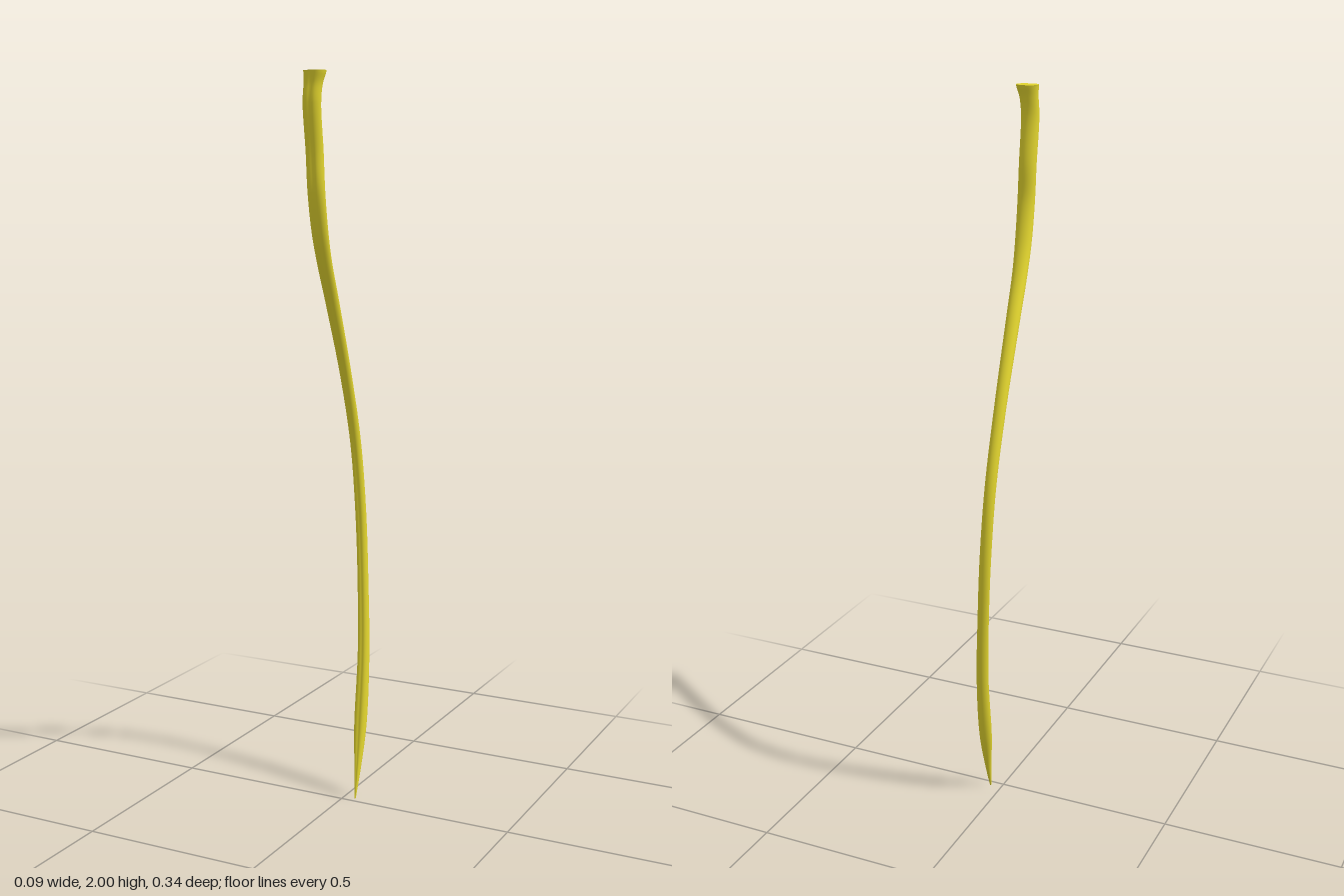
import * as THREE from 'three';

// Stations from tip to cut end: x, y, z, half width, half depth
const STATIONS = [
  [0.034, 0, -0.017, 0.002, 0.002],
  [0.031, 0.08, -0.039, 0.009, 0.009],
  [0.023, 0.2, -0.073, 0.018, 0.015],
  [0.013, 0.4, -0.113, 0.017, 0.015],
  [-0.003, 0.6, -0.141, 0.016, 0.013],
  [-0.018, 0.8, -0.156, 0.016, 0.013],
  [-0.027, 1.0, -0.141, 0.0155, 0.014],
  [-0.028, 1.2, -0.081, 0.0165, 0.014],
  [-0.021, 1.4, 0.011, 0.019, 0.016],
  [-0.014, 1.52, 0.074, 0.021, 0.016],
  [-0.009, 1.6, 0.108, 0.023, 0.017],
  [-0.005, 1.7, 0.134, 0.024, 0.018],
  [-0.007, 1.8, 0.139, 0.024, 0.019],
  [-0.007, 1.92, 0.153, 0.025, 0.018],
  [-0.005, 1.97, 0.149, 0.026, 0.019],
  [-0.002, 2, 0.146, 0.031, 0.025],
];
const SIDES = 32, RINGS = 120;

export function createModel() {
  const path = new THREE.CatmullRomCurve3(STATIONS.map(([x, y, z]) => new THREE.Vector3(x, y, z)));
  const size = new THREE.CatmullRomCurve3(STATIONS.map(([, y, , w, d]) => new THREE.Vector3(w, y, d)));
  const positions = [], index = [], rim = [];

  // Kidney-shaped rings with a groove along the front
  for (let i = 0; i <= RINGS; i++) {
    const t = i / RINGS;
    const center = path.getPoint(t), s = size.getPoint(t);
    const along = i === RINGS ? new THREE.Vector3(0, 1, 0) : path.getTangent(t);
    const depth = new THREE.Vector3(1, 0, 0).cross(along).normalize();
    const width = along.clone().cross(depth).normalize();
    for (let j = 0; j < SIDES; j++) {
      const a = (j / SIDES) * Math.PI * 2;
      const off = Math.atan2(Math.sin(a - Math.PI / 2), Math.cos(a - Math.PI / 2));
      const groove = 1 - 0.2 * Math.exp(-(off * off) / 0.09);
      const p = center.clone()
        .addScaledVector(width, Math.cos(a) * s.x * groove)
        .addScaledVector(depth, Math.sin(a) * s.z * groove);
      if (i === RINGS) { p.y = 2; rim.push(p); }
      p.y = Math.max(0, p.y);
      positions.push(p.x, p.y, p.z);
      if (i < RINGS) {
        const n = (j + 1) % SIDES;
        const q = i * SIDES + j, r = i * SIDES + n;
        index.push(q, q + SIDES, r, r, q + SIDES, r + SIDES);
      }
    }
  }

  // Close the tip
  const tip = positions.length / 3;
  positions.push(0.034, 0, -0.017);
  for (let j = 0; j < SIDES; j++) index.push(tip, j, (j + 1) % SIDES);

  const material = new THREE.MeshStandardMaterial({ color: 0xe0d32e });
  const stalkGeometry = new THREE.BufferGeometry();
  stalkGeometry.setAttribute('position', new THREE.Float32BufferAttribute(positions, 3));
  stalkGeometry.setIndex(index);
  stalkGeometry.computeVertexNormals();
  const stalk = new THREE.Mesh(stalkGeometry, material);
  stalk.name = 'stalk';

  // Flat cut end
  const outline = new THREE.Shape(rim.map((p) => new THREE.Vector2(p.x, -p.z)));
  const capGeometry = new THREE.ShapeGeometry(outline);
  capGeometry.rotateX(-Math.PI / 2).translate(0, 2, 0);
  const cap = new THREE.Mesh(capGeometry, material);
  cap.name = 'cutEnd';

  const group = new THREE.Group();
  group.name = 'stem';
  group.add(stalk, cap);
  return group;
}
